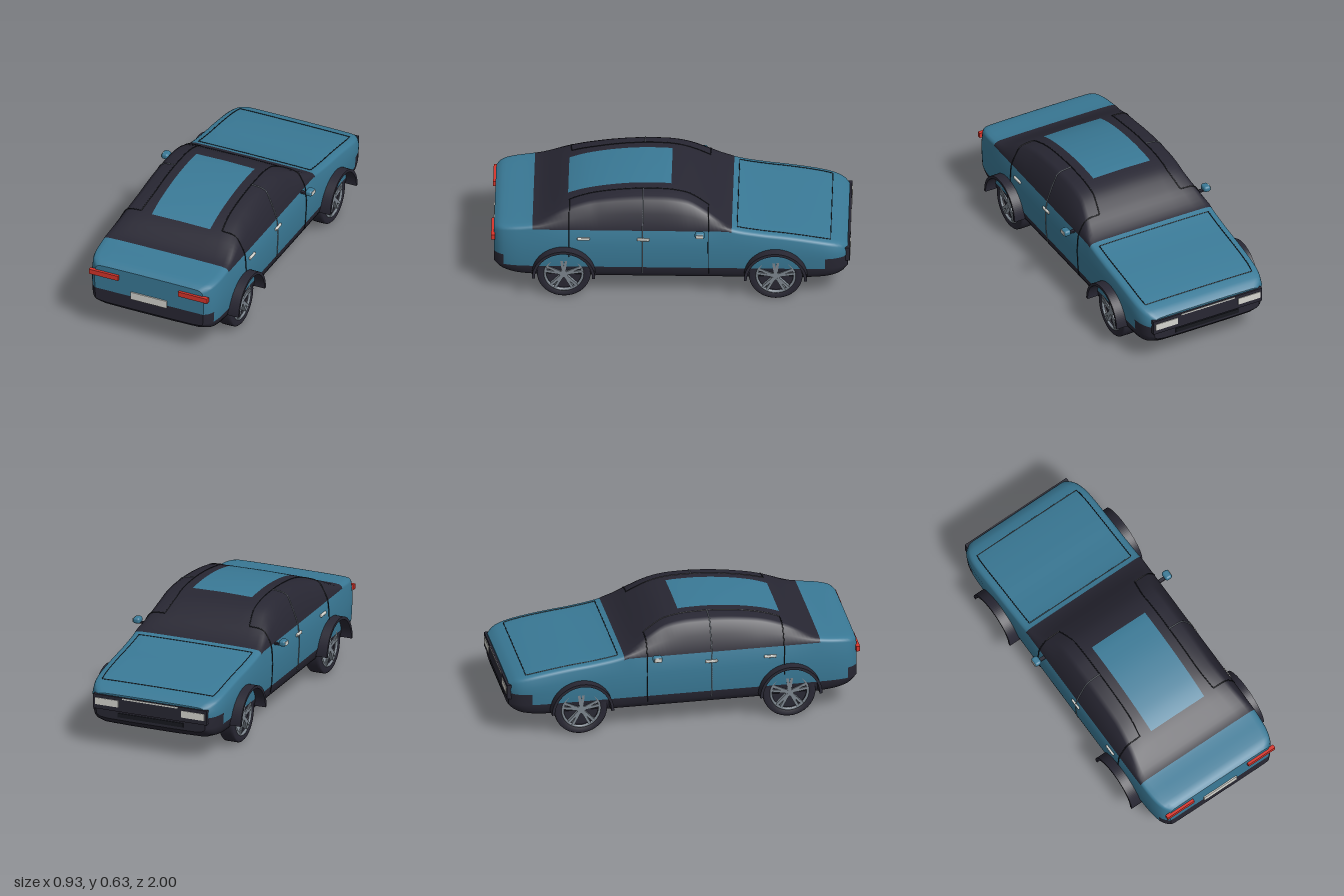
import * as THREE from 'three';
import { RoundedBoxGeometry } from 'three/addons/geometries/RoundedBoxGeometry.js';

const mat = (name, color) => Object.assign(new THREE.MeshStandardMaterial({ color }), { name });

// Smooth interpolation through [z, value] keys sorted by z
function profile(keys) {
  const slope = i => {
    const a = keys[Math.max(i - 1, 0)], b = keys[Math.min(i + 1, keys.length - 1)];
    return (b[1] - a[1]) / (b[0] - a[0]);
  };
  return z => {
    let i = 0;
    while (i < keys.length - 2 && z > keys[i + 1][0]) i++;
    const [z0, v0] = keys[i], [z1, v1] = keys[i + 1], h = z1 - z0;
    const t = THREE.MathUtils.clamp((z - z0) / h, 0, 1), u = 1 - t;
    return v0 * (1 + 2 * t) * u * u + v1 * t * t * (3 - 2 * t) + h * t * u * (slope(i) * u - slope(i + 1) * t);
  };
}

const topY = profile([[-0.985, 0.325], [-0.96, 0.345], [-0.9, 0.366], [-0.8, 0.387], [-0.65, 0.41], [-0.5, 0.428],
  [-0.34, 0.458], [-0.27, 0.495], [-0.2, 0.545], [-0.1, 0.602], [0, 0.626], [0.1, 0.631], [0.2, 0.629], [0.3, 0.62],
  [0.4, 0.605], [0.5, 0.582], [0.6, 0.545], [0.68, 0.502], [0.74, 0.474], [0.8, 0.462], [0.9, 0.45], [0.96, 0.438], [0.985, 0.42]]);
const bottomY = profile([[-0.985, 0.175], [-0.95, 0.14], [-0.88, 0.115], [-0.75, 0.102], [-0.5, 0.1], [0.5, 0.1],
  [0.7, 0.102], [0.85, 0.115], [0.94, 0.145], [0.985, 0.185]]);
const halfW = profile([[-0.985, 0.335], [-0.96, 0.36], [-0.92, 0.38], [-0.85, 0.392], [-0.7, 0.395], [0.7, 0.395],
  [0.85, 0.391], [0.92, 0.38], [0.96, 0.362], [0.985, 0.335]]);

// Half cross-section: [x, height fraction] below the sill and above the belt
const LOWER = [[0, 0], [0.15, 0], [0.31, 0.05], [0.365, 0.3], [0.382, 0.6], [0.39, 1]];
const BONNET = [[0.383, 0.45], [0.372, 0.75], [0.345, 0.9], [0.28, 0.95], [0.18, 0.98], [0, 1]];
const CABIN = [[0.357, 0.47], [0.325, 0.84], [0.30, 0.92], [0.235, 0.965], [0.18, 0.98], [0, 1]];
const TOP = 14, RING = 28;

function section(z) {
  const top = topY(z), bot = bottomY(z), s = halfW(z) / 0.395;
  const belt = Math.min(0.44, top - 0.026), rise = top - belt;
  const t = THREE.MathUtils.clamp((rise - 0.03) / 0.13, 0, 1), mix = THREE.MathUtils.lerp;
  const pts = LOWER.map(([x, f]) => [x, bot + (0.2 - bot) * f]);
  pts.push([0.394, 0.265], [0.397, Math.min(0.34, (0.265 + belt) / 2)], [0.389, belt]);
  BONNET.forEach(([x, f], i) => pts.push([mix(x, CABIN[i][0], t), belt + rise * mix(f, CABIN[i][1], t)]));
  return pts.map(([x, y]) => new THREE.Vector3(x * s, y, z));
}

// Lofted shell, coloured by panel: 0 paint, 1 dark
function bodyGeometry() {
  const breaks = [-0.985, -0.86, -0.7, -0.34, 0, 0.575, 0.77, 0.93, 0.985], zs = [breaks[0]];
  for (let i = 1; i < breaks.length; i++) {
    const n = Math.ceil((breaks[i] - breaks[i - 1]) / 0.025);
    for (let k = 1; k <= n; k++) zs.push(breaks[i - 1] + (breaks[i] - breaks[i - 1]) * k / n);
  }
  const pos = [], tris = [[], []];
  const addRing = z => {
    const half = section(z), start = pos.length / 3;
    for (let j = 0; j < RING; j++) {
      const p = half[j <= TOP ? j : RING - j];
      pos.push(j <= TOP ? p.x : -p.x, p.y, p.z);
    }
    return start;
  };
  const panel = (j, z) => {
    if (j === 0) return z > -0.7 && z < 0.93 ? 0 : 1;
    if (j < 5) return 1;
    if (j === 5) return z > 0.93 || z < -0.86 ? 1 : 0;
    if (j < 8 || z < -0.34 || z > 0.77) return 0;
    return j === 13 && z > 0 && z < 0.575 ? 0 : 1;
  };
  const rings = zs.map(addRing);
  for (let i = 0; i < zs.length - 1; i++) for (let j = 0; j < RING; j++) {
    const k = (j + 1) % RING, a = rings[i], d = rings[i + 1];
    tris[panel(j < TOP ? j : RING - 1 - j, (zs[i] + zs[i + 1]) / 2)].push(a + j, a + k, d + k, a + j, d + k, d + j);
  }
  // Flat nose and tail
  for (const [z, tail] of [[zs[0], false], [zs.at(-1), true]]) {
    const s = addRing(z);
    for (let j = 0; j < TOP; j++) {
      const r = s + j, r2 = s + j + 1, l = s + (RING - j) % RING, l2 = s + RING - j - 1;
      tris[j < 6 ? 1 : 0].push(...(tail ? [l, r, r2, l, r2, l2] : [r, l, l2, r, l2, r2]));
    }
  }
  const g = new THREE.BufferGeometry();
  g.setAttribute('position', new THREE.Float32BufferAttribute(pos, 3));
  g.setIndex([...tris[0], ...tris[1]]);
  g.addGroup(0, tris[0].length, 0);
  g.addGroup(tris[0].length, tris[1].length, 1);
  g.computeVertexNormals();
  return g;
}

export function createModel() {
  const car = new THREE.Group();
  car.name = 'car';
  const paint = mat('blue paint', 0x3a7a97), dark = mat('dark glass and trim', 0x282733), seam = mat('seam black', 0x17191f);
  const metal = mat('grey metal', 0x7c858e), pale = mat('pale lamp', 0xd6d6d0), red = mat('red lamp', 0xd8352b);
  const add = (name, geo, m, x = 0, y = 0, z = 0, parent = car) => {
    const mesh = new THREE.Mesh(geo, m);
    mesh.name = name;
    mesh.position.set(x, y, z);
    parent.add(mesh);
    return mesh;
  };
  const box = (name, w, h, d, m, x, y, z, parent) => add(name, new THREE.BoxGeometry(w, h, d), m, x, y, z, parent);
  const line = (name, pts, m, r = 0.003) =>
    add(name, new THREE.TubeGeometry(new THREE.CatmullRomCurve3(pts), 40, r, 5), m);

  add('body', bodyGeometry(), [paint, dark]);

  // Wheel parts, with the outer face towards +x
  const tyreGeo = new THREE.LatheGeometry([[0.1, -0.045], [0.142, -0.045], [0.149, -0.038], [0.15, -0.025], [0.15, 0.025],
    [0.149, 0.036], [0.142, 0.043], [0.112, 0.043], [0.1, 0.03], [0.1, -0.045]].map(p => new THREE.Vector2(...p)), 40);
  tyreGeo.rotateZ(-Math.PI / 2);
  const discGeo = new THREE.CylinderGeometry(0.105, 0.105, 0.05, 32).rotateZ(-Math.PI / 2);
  const hubGeo = new THREE.CylinderGeometry(0.024, 0.028, 0.03, 20).rotateZ(-Math.PI / 2);
  const rimGeo = new THREE.TorusGeometry(0.105, 0.008, 8, 40).rotateY(Math.PI / 2);
  const arch = new THREE.Shape();
  arch.absarc(0, 0, 0.176, 0, Math.PI, false);
  arch.absarc(0, 0, 0.16, Math.PI, 0, true);
  const archGeo = new THREE.ExtrudeGeometry(arch, { depth: 0.1, bevelEnabled: false, curveSegments: 28 }).rotateY(Math.PI / 2);

  for (const side of [1, -1]) {
    const flip = v => new THREE.Vector3(v.x * side, v.y, v.z);
    const along = (i, z0, z1) => Array.from({ length: 15 }, (_, k) => flip(section(z0 + (z1 - z0) * k / 14)[i]));
    const across = (z, i0, i1) => section(z).slice(i0, i1 + 1).map(flip);

    for (const z of [0.595, -0.585]) {
      const wheel = new THREE.Group();
      wheel.name = 'wheel';
      wheel.position.set(side * 0.345, 0.15, z);
      if (side < 0) wheel.rotation.y = Math.PI;
      car.add(wheel);
      add('tyre', tyreGeo, dark, 0, 0, 0, wheel);
      add('wheelDisc', discGeo, dark, 0, 0, 0, wheel);
      add('rim', rimGeo, metal, 0.039, 0, 0, wheel);
      add('hub', hubGeo, metal, 0.032, 0, 0, wheel);
      for (let k = 0; k < 5; k++) for (const off of [-0.14, 0.14]) {
        const spoke = new THREE.Group();
        spoke.name = 'spoke';
        spoke.rotation.x = k * Math.PI * 0.4 + off;
        wheel.add(spoke);
        box('spokeBar', 0.022, 0.09, 0.015, metal, 0.0365, 0.06, 0, spoke);
      }
      add('archFlare', archGeo, dark, side > 0 ? 0.35 : -0.45, 0.156, z);
    }

    // Door seams, window frames and handles
    line('frontDoorSeam', across(-0.21, 4, 12), seam);
    line('doorPillarSeam', across(0.155, 4, 12), metal);
    line('rearDoorSeam', across(0.565, 6, 12), seam);
    line('windowFrame', along(12, -0.21, 0.565), seam);
    for (const z of [0.485, 0.152])
      add('doorHandle', new RoundedBoxGeometry(0.014, 0.016, 0.07, 2, 0.005), pale, side * 0.397, 0.386, z);

    // Bonnet edge
    line('bonnetSideSeam', along(11, -0.89, -0.37), seam, 0.0025);

    // Door mirror
    box('mirrorStalk', 0.06, 0.01, 0.02, dark, side * 0.405, 0.436, -0.16);
    add('mirrorHousing', new RoundedBoxGeometry(0.042, 0.036, 0.055, 4, 0.014), paint, side * 0.444, 0.45, -0.163);
    box('mirrorTrim', 0.004, 0.022, 0.04, pale, side * 0.464, 0.45, -0.163);

    // Lamps
    box('headlamp', 0.14, 0.04, 0.012, pale, side * 0.262, 0.275, -0.994);
    box('tailLamp', 0.18, 0.03, 0.022, red, side * 0.275, 0.37, 0.989);
  }

  for (const z of [-0.89, -0.37]) {
    const half = section(z).slice(11);
    const mirrored = half.slice(0, -1).reverse().map(v => new THREE.Vector3(-v.x, v.y, v.z));
    line('bonnetCrossSeam', [...half, ...mirrored], seam, 0.0025);
  }

  // Nose and tail fittings
  box('grilleBar', 0.69, 0.085, 0.025, dark, 0, 0.272, -0.984);
  box('grilleStrip', 0.34, 0.008, 0.008, pale, 0, 0.308, -0.995);
  box('lowerGrille', 0.4, 0.025, 0.008, seam, 0, 0.205, -0.986);
  box('numberPlate', 0.222, 0.046, 0.009, pale, 0, 0.274, 0.988);
  return car;
}
